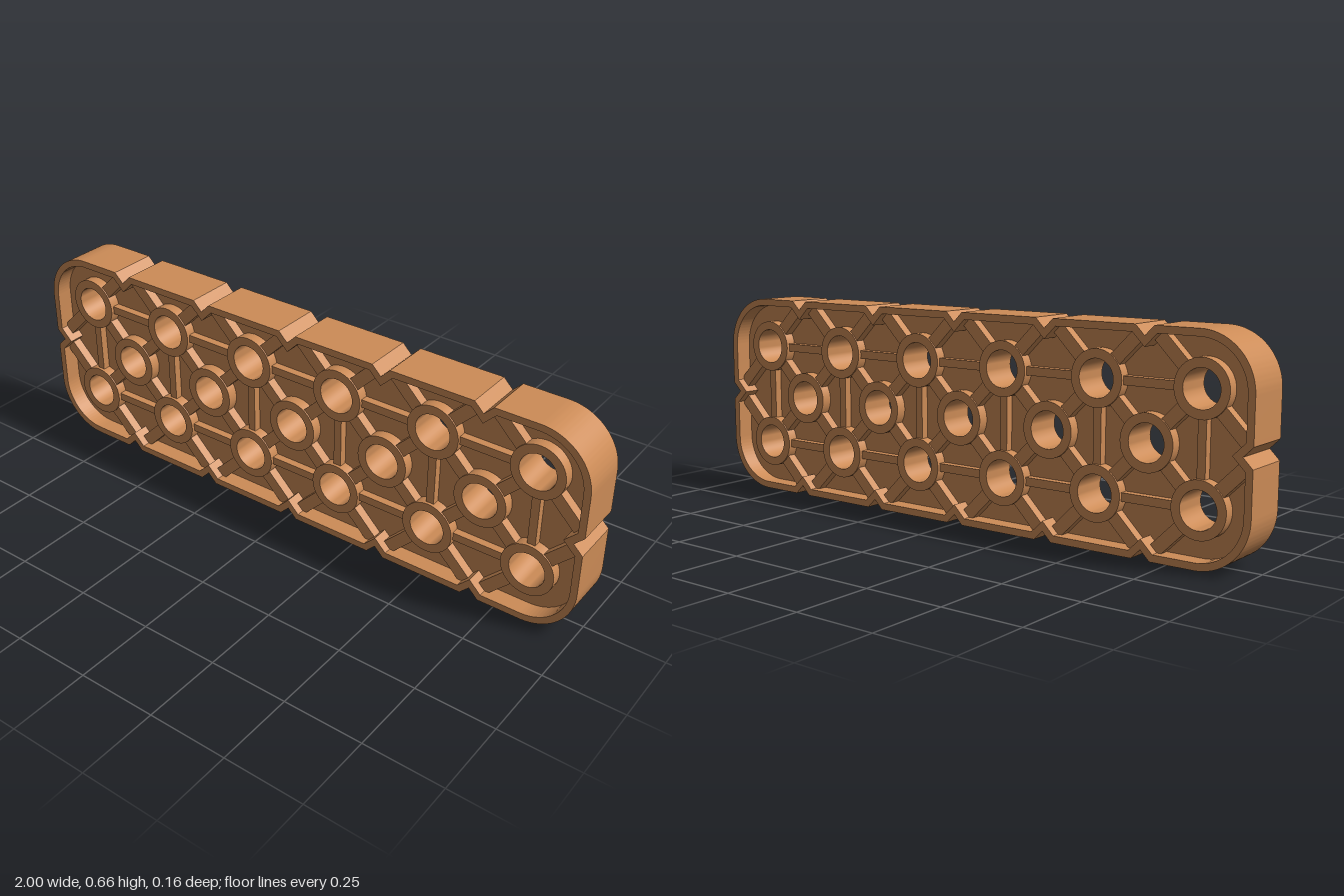
import * as THREE from 'three';
import { toCreasedNormals } from 'three/addons/utils/BufferGeometryUtils.js';

const CY = 0.33, HALF_W = 1, HALF_H = 0.33, PITCH = 1 / 6;
const RIM = 0.022, NOTCH = 0.03, BORE = 0.057, BOSS = 0.085;

// Rounded rectangle with V notches, shrunk inward by an even inset
function outline(path, inset) {
  const w = HALF_W - inset, h = HALF_H - inset, r = 0.165 - inset;
  const depth = NOTCH + Math.SQRT2 * inset - inset;
  const xs = [-4, -2, 0, 2, 4].map((i) => i * PITCH);
  path.moveTo(-w + r, -h);
  for (const x of xs) {
    path.lineTo(x - depth, -h);
    path.lineTo(x, -h + depth);
    path.lineTo(x + depth, -h);
  }
  path.lineTo(w - r, -h);
  path.absarc(w - r, -h + r, r, -Math.PI / 2, 0, false);
  path.lineTo(w, -depth);
  path.lineTo(w - depth, 0);
  path.lineTo(w, depth);
  path.absarc(w - r, h - r, r, 0, Math.PI / 2, false);
  for (const x of [...xs].reverse()) {
    path.lineTo(x + depth, h);
    path.lineTo(x, h - depth);
    path.lineTo(x - depth, h);
  }
  path.absarc(-w + r, h - r, r, Math.PI / 2, Math.PI, false);
  path.lineTo(-w, depth);
  path.lineTo(-w + depth, 0);
  path.lineTo(-w, -depth);
  path.absarc(-w + r, -h + r, r, Math.PI, Math.PI * 1.5, false);
  return path;
}

function circle(path, x, y, r) {
  return path.absarc(x, y, r, 0, Math.PI * 2, false);
}

// Extrusion centred on z = 0
function slab(shape, halfDepth) {
  const geo = new THREE.ExtrudeGeometry(shape, {
    depth: halfDepth * 2, bevelEnabled: false, curveSegments: 20,
  });
  geo.translate(0, 0, -halfDepth);
  return toCreasedNormals(geo, 0.5);
}

export function createModel() {
  const group = new THREE.Group();
  const material = new THREE.MeshStandardMaterial({ color: 0xcd8c57 });
  material.name = 'copper orange';

  function add(name, geometry) {
    const mesh = new THREE.Mesh(geometry, material);
    mesh.name = name;
    mesh.position.y = CY;
    group.add(mesh);
    return mesh;
  }

  // Hole centres: two outer rows of six and a middle row of five
  const holes = [];
  for (const i of [-5, -3, -1, 1, 3, 5]) {
    holes.push([i * PITCH, PITCH], [i * PITCH, -PITCH]);
  }
  for (const i of [-4, -2, 0, 2, 4]) holes.push([i * PITCH, 0]);

  // Full-depth perimeter wall
  const rim = outline(new THREE.Shape(), 0);
  rim.holes.push(outline(new THREE.Path(), RIM));
  add('rim', slab(rim, 0.08));

  // Thin central web, tucked into the rim and the bosses
  const web = outline(new THREE.Shape(), RIM / 2);
  for (const [x, y] of holes) web.holes.push(circle(new THREE.Path(), x, y, 0.07));
  add('web', slab(web, 0.025));

  // Bored bosses
  const ring = circle(new THREE.Shape(), 0, 0, BOSS);
  ring.holes.push(circle(new THREE.Path(), 0, 0, BORE));
  const bossGeo = slab(ring, 0.06);
  for (const [x, y] of holes) add('boss', bossGeo).position.set(x, CY + y, 0);

  // Straight bar between two points, standing out on both faces
  function rib(name, x0, y0, x1, y1, trim0, trim1, width, halfDepth) {
    const len = Math.hypot(x1 - x0, y1 - y0);
    const ux = (x1 - x0) / len, uy = (y1 - y0) / len;
    const mid = (trim0 + len - trim1) / 2;
    const mesh = add(name, new THREE.BoxGeometry(len - trim0 - trim1, width, halfDepth * 2));
    mesh.position.set(x0 + ux * mid, CY + y0 + uy * mid, 0);
    mesh.rotation.z = Math.atan2(uy, ux);
  }

  // Diagonal lattice from each outer-row hole to middle holes and notches
  const T = 0.072;
  for (const s of [-1, 1]) {
    for (const i of [-5, -3, -1, 1, 3, 5]) {
      const x = i * PITCH, y = s * PITCH;
      for (const d of [-1, 1]) {
        const nx = (i + d) * PITCH;
        const atEnd = Math.abs(i + d) === 6;
        rib('diagonalRib', x, y, nx, 0, T, atEnd ? 0.03 : T, 0.04, 0.055);
        if (!atEnd) rib('notchRib', x, y, nx, s * 2 * PITCH, T, 0.034, 0.04, 0.055);
      }
      // Narrow bars along the rows
      if (i < 5) rib('rowRib', x, y, x + 2 * PITCH, y, T, T, 0.026, 0.05);
    }
  }

  // Narrow upright bars between the outer rows
  for (const i of [-5, -3, -1, 1, 3, 5]) {
    rib('uprightRib', i * PITCH, -PITCH, i * PITCH, PITCH, T, T, 0.026, 0.05);
  }
  return group;
}
